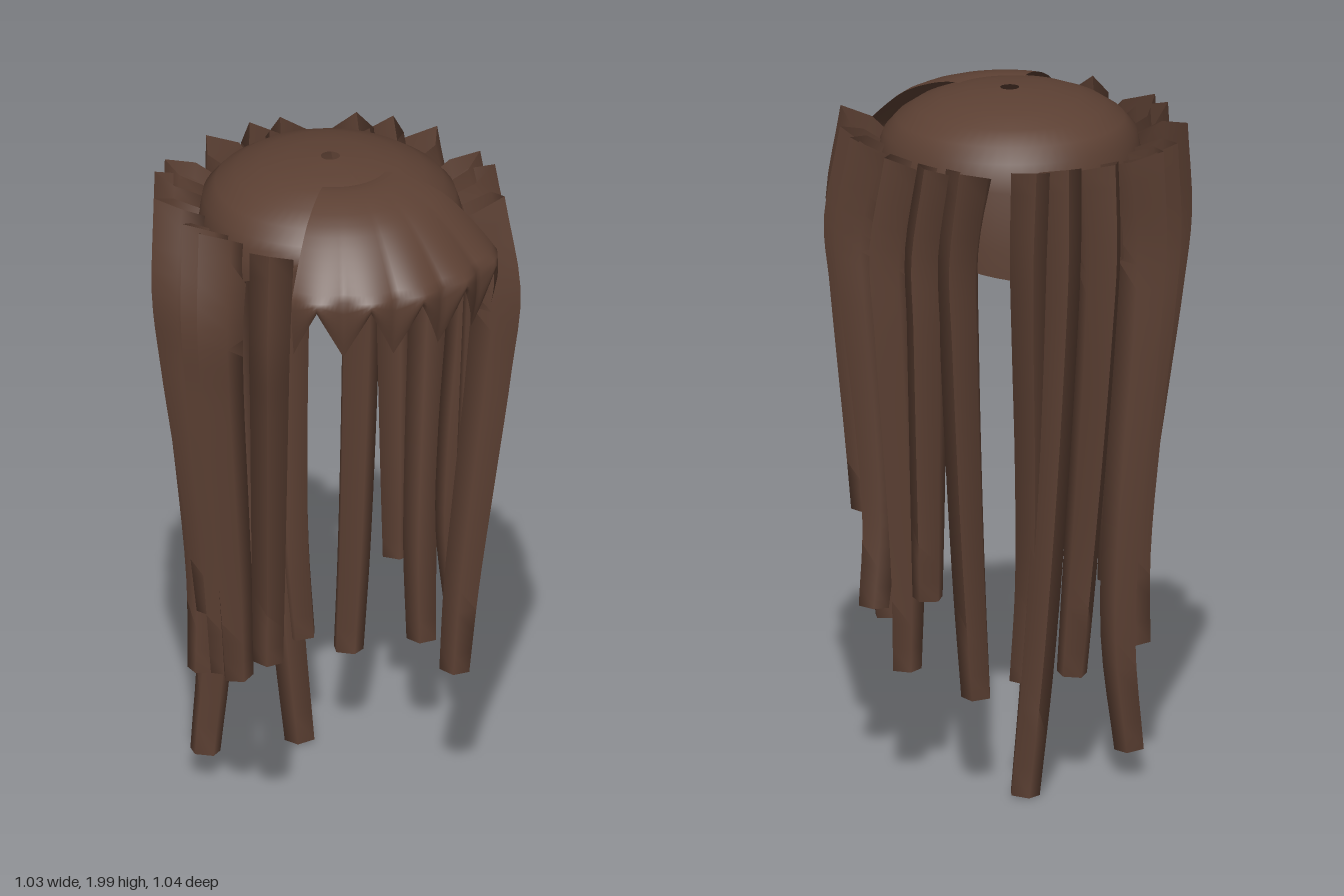
import * as THREE from 'three';
import { toCreasedNormals } from 'three/addons/utils/BufferGeometryUtils.js';

const lerp = THREE.MathUtils.lerp;

// Surface from a grid of points: point(i, j) for i in 0..rows, j in 0..cols
function gridSurface(rows, cols, point) {
  const pos = [], idx = [];
  for (let i = 0; i <= rows; i++)
    for (let j = 0; j <= cols; j++) pos.push(...point(i, j));
  for (let i = 0; i < rows; i++)
    for (let j = 0; j < cols; j++) {
      const a = i * (cols + 1) + j, b = a + 1, c = a + cols + 1, d = c + 1;
      idx.push(a, c, b, b, c, d);
    }
  const g = new THREE.BufferGeometry();
  g.setAttribute('position', new THREE.Float32BufferAttribute(pos, 3));
  g.setIndex(idx);
  g.computeVertexNormals();
  return g;
}

// Domed cap with a crown hole; its rim drops lower towards the back
function capGeometry() {
  const dome = [[0.027, 1.998], [0.12, 1.993], [0.2, 1.978], [0.27, 1.951], [0.325, 1.915], [0.36, 1.875]];
  const skirt = 4, n = dome.length - 1;
  return gridSurface(n + skirt, 64, (i, j) => {
    const a = (j / 64) * Math.PI * 2, back = (1 - Math.cos(a)) / 2;
    const rim = 1.87 - 0.34 * Math.pow(back, 0.85);
    let [r, y] = dome[Math.min(i, n)];
    if (i > n) {
      const t = (i - n) / skirt;
      r = 0.36 + 0.025 * Math.sin(t * Math.PI * 0.6);
      y = lerp(1.875, rim, t);
    }
    const z = r * Math.cos(a);
    return [r * Math.sin(a), y, (z < 0 ? z * 1.03 : z * 0.94) - 0.015];
  });
}

// Front fringe: a quarter fan that curls down into five scallops with pointed tips
function fringeGeometry() {
  const profile = new THREE.CatmullRomCurve3([
    [0.12, 1.978], [0.16, 1.984], [0.22, 1.975], [0.31, 1.94], [0.38, 1.885], [0.44, 1.825], [0.48, 1.78]
  ].map(([r, y]) => new THREE.Vector3(r, y, 0)));
  const rows = 14, teeth = 5, cols = 60;
  return gridSurface(rows + teeth, cols, (i, j) => {
    const u = j / cols, a = (u - 0.5) * Math.PI / 2;
    const tip = Math.abs(((u * 5) % 1) * 2 - 1);       // 1 at the tips, 0 at the notches
    const bulge = Math.abs(Math.sin(u * 5 * Math.PI)) * 0.015 + Math.sin(u * Math.PI) * 0.01 - 0.008;
    const p = profile.getPoint(Math.min(i, rows) / rows);
    let r = p.x + bulge * Math.min(i / rows, 1) ** 3, y = p.y;
    if (i > rows) {
      const t = (i - rows) / teeth;
      y = lerp(1.78, 1.75 - 0.15 * tip, t);
      r += 0.008 * Math.sin(t * Math.PI) - 0.02 * t * tip;
    }
    return [r * Math.sin(a), y, r * Math.cos(a) + 0.02];
  });
}

// Five-sided tapering lock: pointed outwards at its open, slanted top, rounder at its closed tip
function strandGeometry([tx, tz, bx, by, bz, turn, bendX = 0, bendZ = 0]) {
  const at = (t, h, bend) => new THREE.Vector3(
    lerp(tx, bx, t) + bendX * bend, lerp(1.62, by, h), lerp(tz, bz, t) + bendZ * bend);
  const curve = new THREE.CatmullRomCurve3([
    new THREE.Vector3(tx * 0.91, 1.86, tz * 0.97 - 0.1 * Math.abs(tx)),
    at(0, 0, 0), at(0.14, 0.2, 0.2), at(0.5, 0.5, 0.8), at(0.83, 0.78, 0.9), at(1, 1, 0)
  ]);
  const radial = new THREE.Vector3(tx, 0, tz).normalize();
  const topRadii = [0.09, 0.066, 0.078, 0.078, 0.066];
  const rows = 20;
  const g = gridSurface(rows + 1, 5, (i, j) => {
    const t = Math.min(i, rows) / rows;
    const c = curve.getPoint(t), dir = curve.getTangent(t);
    if (i > rows) return c.toArray();
    const out = radial.clone().addScaledVector(dir, -radial.dot(dir)).normalize();
    const side = new THREE.Vector3().crossVectors(dir, out);
    const a = (j % 5) * Math.PI * 0.4 + turn;
    const size = lerp(topRadii[j % 5], 0.045, t);
    c.addScaledVector(out, Math.cos(a) * size).addScaledVector(side, Math.sin(a) * size);
    c.y += Math.cos(a) * 0.025 * Math.max(0, 1 - t * 8);
    return c.toArray();
  });
  return toCreasedNormals(g, 1.35);
}

export function createModel() {
  const model = new THREE.Group();
  model.name = 'wig';
  const brown = new THREE.MeshStandardMaterial({ color: 0x5c4033, side: THREE.DoubleSide });
  brown.name = 'dark brown hair';
  const add = (name, geometry, parent = model) => {
    const mesh = new THREE.Mesh(geometry, brown);
    mesh.name = name;
    parent.add(mesh);
  };

  add('cap', capGeometry());
  add('fringe', fringeGeometry());

  // Hanging locks: top x, top z, tip x, tip y, tip z, turn, sideways bend x and z
  const strands = new THREE.Group();
  strands.name = 'strands';
  model.add(strands);
  [
    // left side
    [0.375, 0.265, 0.28, 0.41, 0.205, 0.3],
    [0.43, 0.11, 0.395, 0.77, 0.085, 0.1],
    [0.435, 0.03, 0.4, 0.5, 0.02, 0, -0.03],
    [0.415, -0.16, 0.36, 0.35, -0.125, 0.1, -0.01],
    [0.355, -0.27, 0.33, 0.58, -0.22, 0],
    [0.285, -0.34, 0.2, 0.29, -0.27, 0, 0.01],
    // back
    [0.1, -0.42, 0.08, 0.34, -0.325, 0, -0.02],
    [0.015, -0.435, 0.085, 0.008, -0.34, 0, -0.02],
    [-0.115, -0.42, -0.085, 0.33, -0.28, 0, -0.01],
    // right side
    [-0.275, -0.34, -0.27, 0.085, -0.26, 0, 0.045],
    [-0.335, -0.285, -0.31, 0.38, -0.2, 0, 0.02],
    [-0.42, -0.14, -0.32, 0.6, -0.13, 0],
    [-0.435, 0.03, -0.36, 0.48, 0.01, 0],
    [-0.43, 0.1, -0.35, 0.48, 0.07, 0],
    [-0.36, 0.275, -0.345, 0.6, 0.24, -0.3]
  ].forEach((s, i) => add('strand' + (i + 1), strandGeometry(s), strands));

  return model;
}
